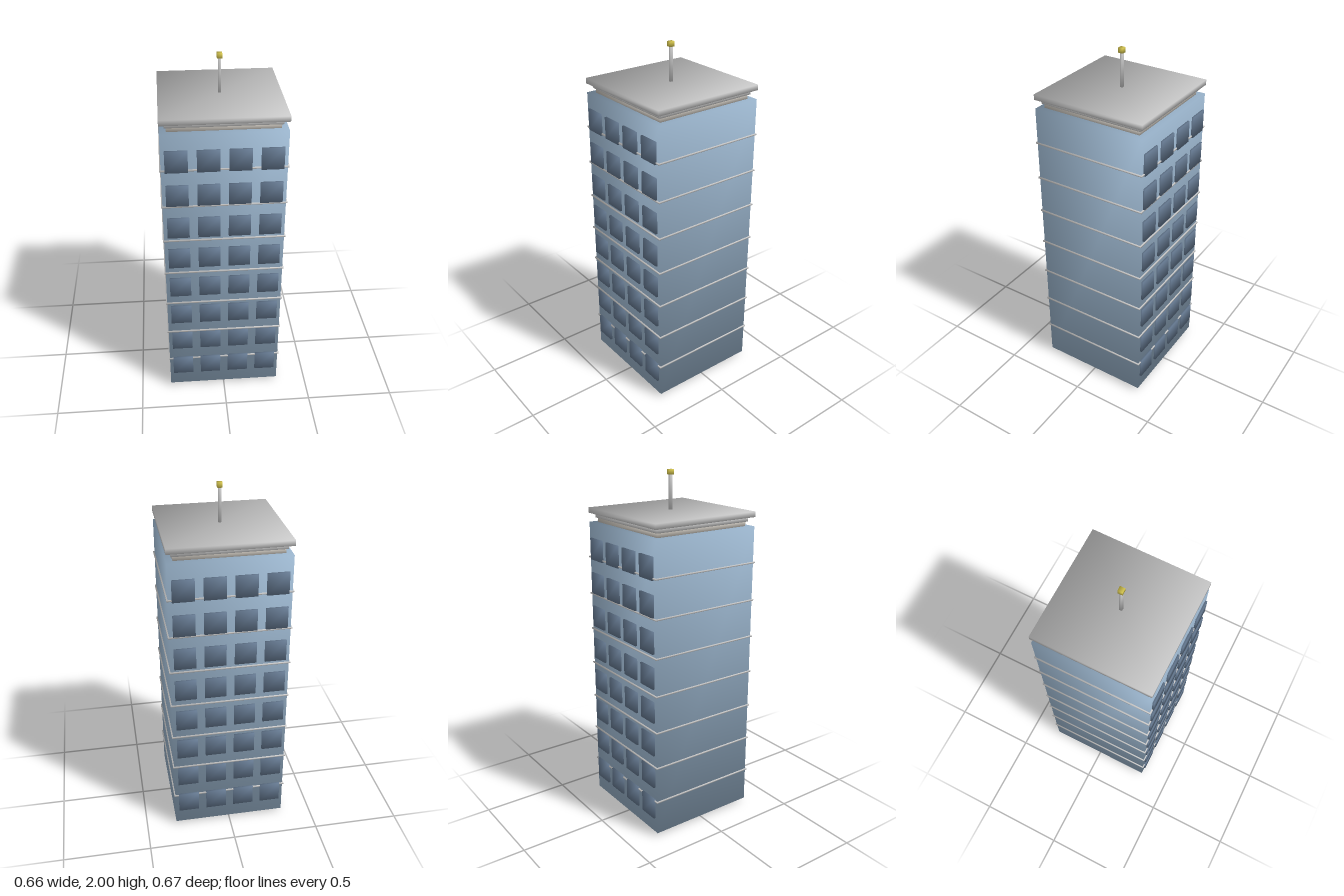
import * as THREE from 'three';

const material = (color) => new THREE.MeshStandardMaterial({ color });
const wallBlue = material(0x9ab4cc);
const glassBlue = material(0x667a92);
const concrete = material(0xcccccc);
const stone = material(0xc2bdb5);
const lampYellow = material(0xd8c850);

// Box with soft-shaded corners: every normal points out along its corner diagonal
function softBox(name, width, height, depth, mat, x, yBottom, z) {
  const geometry = new THREE.BoxGeometry(width, height, depth);
  const { position, normal } = geometry.attributes;
  const n = new THREE.Vector3();
  for (let i = 0; i < position.count; i++) {
    n.set(Math.sign(position.getX(i)), Math.sign(position.getY(i)), Math.sign(position.getZ(i))).normalize();
    normal.setXYZ(i, n.x, n.y, n.z);
  }
  const mesh = new THREE.Mesh(geometry, mat);
  mesh.name = name;
  mesh.position.set(x, yBottom + height / 2, z);
  return mesh;
}

export function createModel() {
  const tower = new THREE.Group();
  tower.name = 'officeTower';
  const add = (name, w, h, d, mat, y) => tower.add(softBox(name, w, h, d, mat, 0, y, 0));

  // Recessed plinth and main block
  add('plinth', 0.58, 0.03, 0.58, stone, 0);
  add('mainBlock', 0.65, 1.685, 0.65, wallBlue, 0.02);

  // Thin ledges between the floors
  const ledges = new THREE.Group();
  ledges.name = 'floorLedges';
  for (let i = 1; i <= 7; i++) {
    ledges.add(softBox('floorLedge', 0.664, 0.008, 0.664, concrete, 0, 0.004 + i * 0.214, 0));
  }
  tower.add(ledges);

  // Window grid on the front and the back
  for (const side of [1, -1]) {
    const windows = new THREE.Group();
    windows.name = side > 0 ? 'frontWindows' : 'backWindows';
    for (let row = 0; row < 8; row++) {
      for (let col = 0; col < 4; col++) {
        windows.add(softBox('window', 0.118, 0.122, 0.02, glassBlue,
          (col - 1.5) * 0.164, 0.11 + row * 0.198, side * 0.326));
      }
    }
    tower.add(windows);
  }

  // Stepped cornice under the roof slab
  add('lowerCornice', 0.58, 0.03, 0.58, stone, 1.7);
  add('upperCornice', 0.6, 0.025, 0.6, concrete, 1.73);
  add('roofSlab', 0.654, 0.03, 0.654, concrete, 1.755);

  // Antenna with its warning lamp
  add('antennaMast', 0.015, 0.2, 0.015, concrete, 1.78);
  add('warningLamp', 0.027, 0.027, 0.027, lampYellow, 1.973);

  return tower;
}
